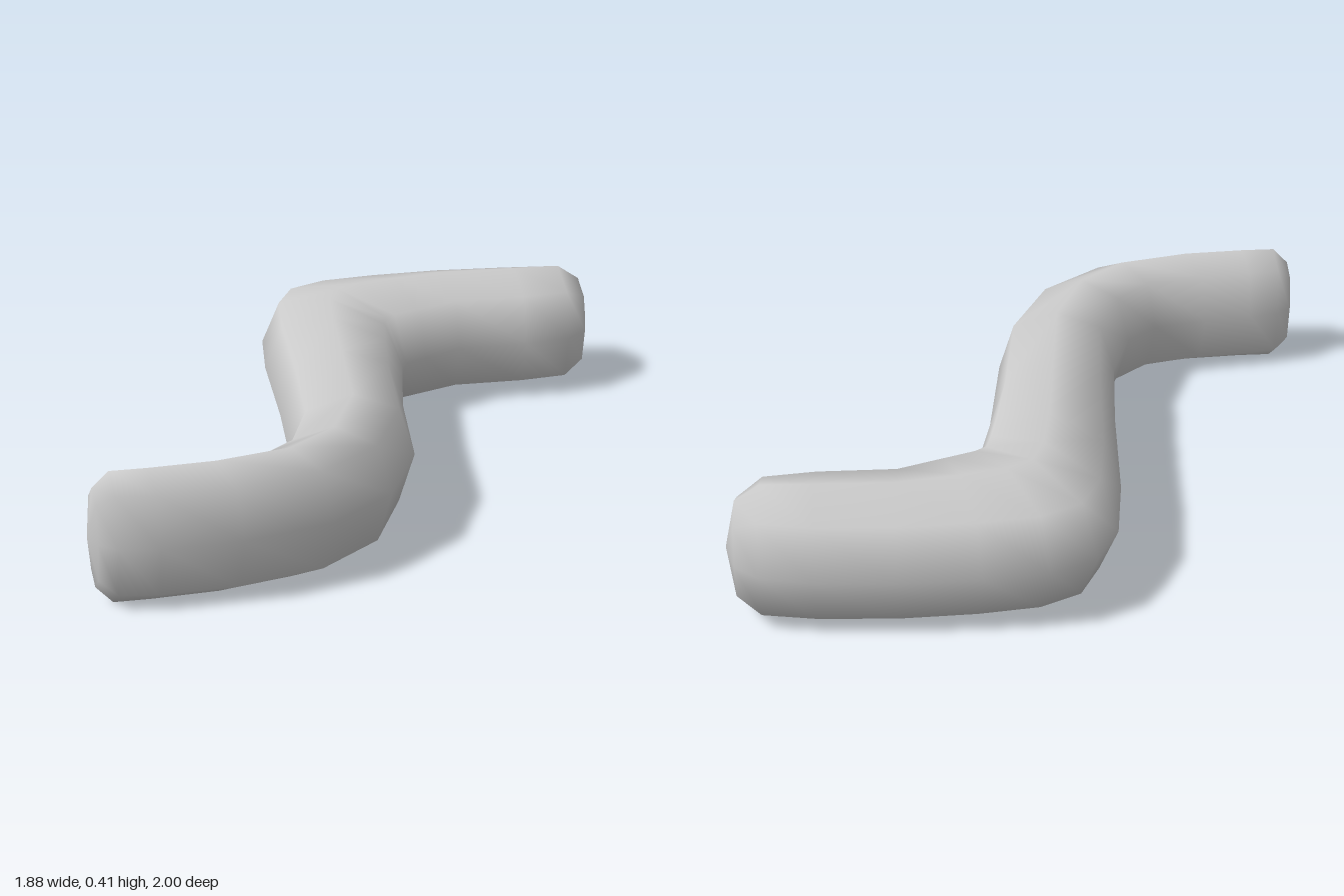
import * as THREE from 'three';

// Cross-sections along the path: inner-bend rail (x, z), outer rail (x, z), half height
const H = 0.205;
const SECTIONS = [
  [-0.935, 0.825, -0.915, 0.935, 0.155],
  [-0.89, 0.79, -0.86, 0.975, H],
  [-0.79, 0.76, -0.74, 0.995, H],
  [-0.63, 0.735, -0.5, 0.975, H],
  [-0.45, 0.69, -0.23, 0.885, H],
  [-0.35, 0.59, -0.025, 0.7, H],
  [-0.285, 0.37, 0.1, 0.4, H],
  [-0.265, 0, 0.14, -0.02, H],
  [-0.255, -0.45, 0.175, -0.22, H],
  [-0.23, -0.72, 0.197, -0.34, H],
  [-0.16, -0.88, 0.207, -0.395, H],
  [-0.02, -0.96, 0.225, -0.415, H],
  [0.18, -0.99, 0.3, -0.457, H],
  [0.43, -1, 0.43, -0.53, H],
  [0.67, -0.99, 0.67, -0.54, H],
  [0.83, -0.955, 0.83, -0.575, H],
  [0.905, -0.89, 0.905, -0.645, 0.155],
];
// Softened octagon: [across, up]
const K = 0.75;
const OCTAGON = [[1, 0], [K, K], [0, 1], [-K, K], [-1, 0], [-K, -K], [0, -1], [K, -K]];

function bentTube() {
  const pos = [], index = [], n = OCTAGON.length;
  for (const [ax, az, bx, bz, h] of SECTIONS) {
    for (const [s, u] of OCTAGON) {
      const t = (1 + s) / 2;
      pos.push(ax + (bx - ax) * t, H + h * u, az + (bz - az) * t);
    }
  }
  // Walls between neighbouring rings
  const last = (SECTIONS.length - 1) * n;
  for (let r = 0; r < last; r += n) {
    for (let j = 0; j < n; j++) {
      const k = (j + 1) % n;
      index.push(r + j, r + n + j, r + k, r + k, r + n + j, r + n + k);
    }
  }
  // Domed ends closing on one tip each
  const startTip = pos.length / 3, endTip = startTip + 1;
  pos.push(-0.943, H, 0.87, 0.937, H, -0.768);
  for (let j = 0; j < n; j++) {
    const k = (j + 1) % n;
    index.push(startTip, j, k, endTip, last + k, last + j);
  }
  const geo = new THREE.BufferGeometry();
  geo.setAttribute('position', new THREE.Float32BufferAttribute(pos, 3));
  geo.setIndex(index);
  geo.computeVertexNormals();
  return geo;
}

export function createModel() {
  const group = new THREE.Group();
  group.name = 'bentTubeModel';
  const body = new THREE.Mesh(bentTube(), new THREE.MeshStandardMaterial({ color: 0xcccccc }));
  body.name = 'bentTube';
  group.add(body);
  return group;
}
